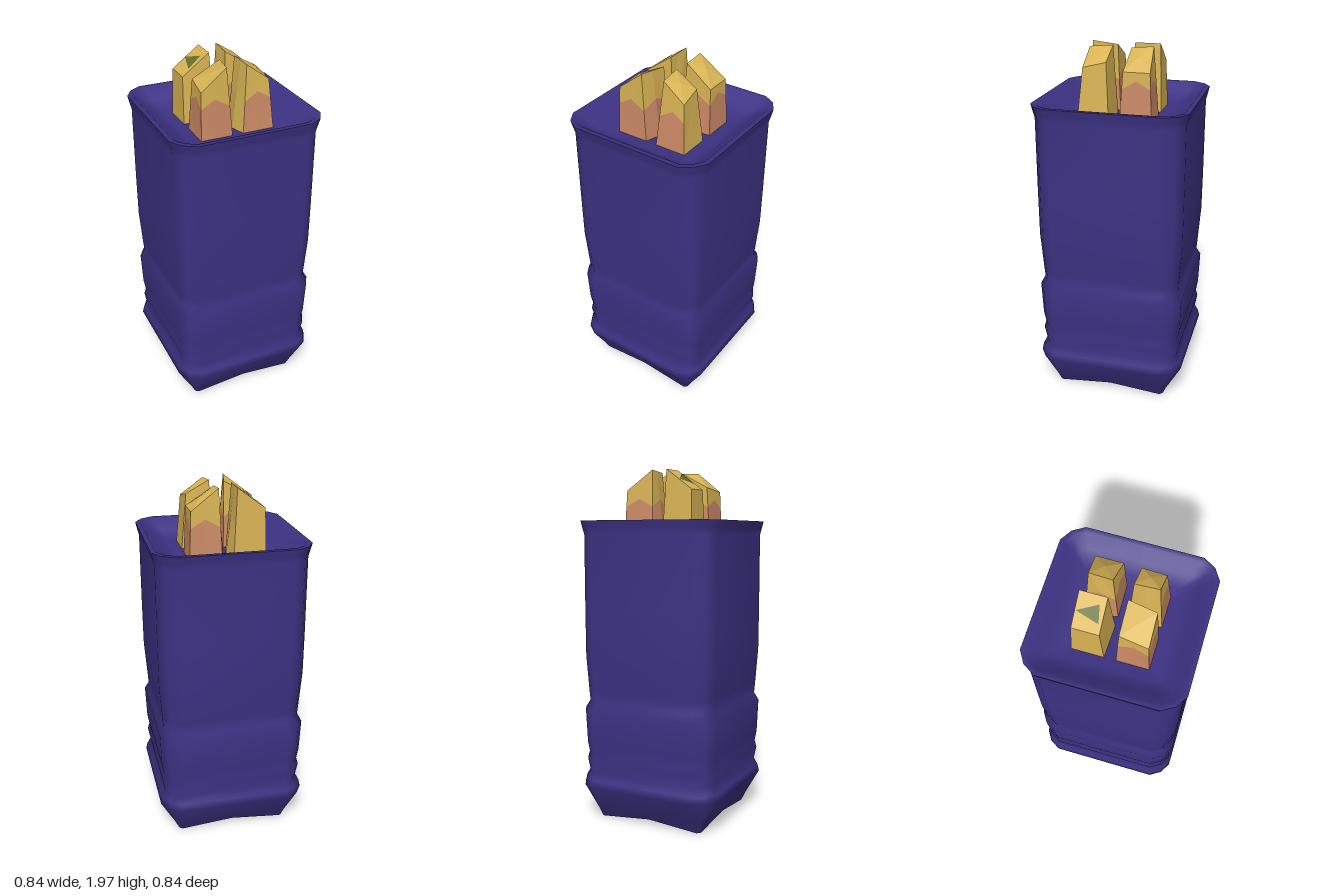
import * as THREE from 'three';

const mat = (name, color, side = THREE.FrontSide) => {
  const m = new THREE.MeshStandardMaterial({ color, side });
  m.name = name;
  return m;
};

// Geometry from a flat list of corner points, three per triangle
function triGeometry(points) {
  const g = new THREE.BufferGeometry();
  g.setAttribute('position', new THREE.Float32BufferAttribute(points.flat(), 3));
  g.computeVertexNormals();
  return g;
}

// Square ring with cut, softened corners; arch lifts the middle of each side
function squareRing(y, w, c, arch = 0) {
  const pts = [];
  const m = (w + c) / 2 + (w - c) * 0.12;
  for (let k = 0; k < 4; k++) {
    const a = (k * Math.PI) / 2, cs = Math.cos(a), sn = Math.sin(a);
    for (const [x, z] of [[w, -c], [w, 0], [w, c], [m, m]]) {
      pts.push([x * cs - z * sn, y + (z === 0 ? arch : 0), x * sn + z * cs]);
    }
  }
  return pts;
}

// Smooth skin through the rings
function loft(rings) {
  const n = rings[0].length, index = [];
  for (let j = 0; j < rings.length - 1; j++) {
    for (let i = 0; i < n; i++) {
      const a = j * n + i, b = j * n + ((i + 1) % n);
      index.push(a, a + n, b, b, a + n, b + n);
    }
  }
  const g = new THREE.BufferGeometry();
  g.setAttribute('position', new THREE.Float32BufferAttribute(rings.flat(2), 3));
  g.setIndex(index);
  g.computeVertexNormals();
  return g;
}

// Insert the midpoint after each of the four corners
const withMids = (corners) => corners.flatMap((p, i) => {
  const q = corners[(i + 1) % 4];
  return [p, p.map((v, k) => (v + q[k]) / 2)];
});

export function createModel() {
  const group = new THREE.Group();
  const blue = mat('blue', 0x3d3284);
  const dark = mat('dark underside', 0x2c2036);
  const yellow = mat('yellow', 0xd9b455);
  const pink = mat('pink', 0xcc8a66);
  const green = mat('green', 0x66702e, THREE.DoubleSide);
  const add = (name, geometry, material, parent = group) => {
    const mesh = new THREE.Mesh(geometry, material);
    mesh.name = name;
    parent.add(mesh);
  };

  // Creased block: height, half width, corner start, arch
  const profile = [
    [0.005, 0.315, 0.295, 0.027], [0.05, 0.335, 0.3, 0.01], [0.2, 0.418, 0.315], [0.24, 0.41, 0.31],
    [0.28, 0.39, 0.3], [0.35, 0.403, 0.305], [0.39, 0.393, 0.3], [0.45, 0.403, 0.305],
    [0.64, 0.41, 0.31], [0.685, 0.387, 0.295], [0.75, 0.391, 0.3], [0.95, 0.405, 0.305],
    [1.2, 0.406, 0.305], [1.62, 0.405, 0.305], [1.66, 0.415, 0.31], [1.695, 0.422, 0.315],
  ];
  add('body', loft(profile.map((p) => squareRing(...p))), blue);

  // Sunken top
  const dish = [[1.695, 0.422, 0.315], [1.695, 0.395, 0.305], [1.64, 0.33, 0.28], [1.605, 0.26, 0.23], [1.6, 0.001, 0.0009]];
  add('sunkenTop', loft(dish.map((p) => squareRing(...p))), blue);

  // Arched underside
  const foot = squareRing(...profile[0]);
  add('underside', triGeometry(foot.flatMap((p, i) => [[0, 0.035, 0], p, foot[(i + 1) % foot.length]])), dark);

  // Four chiselled prongs. Corners run inner-near, outer-near, outer-far, inner-far;
  // pinkSides: 0 near, 1 outer, 2 far, 3 inner. peak lifts the middle of the cap.
  const prongs = [
    { name: 'frontRightProng', sx: -1, sz: 1, pinkSides: [0, 1, 2, 3], peak: 0.01,
      top: [[0.03, 0.04, 1.96], [0.185, 0.04, 1.88], [0.2, 0.19, 1.86], [0.06, 0.19, 1.97]] },
    { name: 'frontLeftProng', sx: 1, sz: 1, pinkSides: [2], peak: 0.015,
      top: [[0.05, 0.045, 1.97], [0.175, 0.05, 1.9], [0.185, 0.175, 1.87], [0.06, 0.17, 1.96]] },
    { name: 'backLeftProng', sx: 1, sz: -1, pinkSides: [0, 1, 2, 3], peak: 0.015,
      top: [[0.045, 0.055, 1.96], [0.195, 0.045, 1.86], [0.195, 0.19, 1.86], [0.045, 0.175, 1.97]] },
    { name: 'backRightProng', sx: -1, sz: -1, pinkSides: [], peak: 0,
      top: [[0.05, 0.05, 1.97], [0.2, 0.05, 1.86], [0.2, 0.19, 1.86], [0.05, 0.19, 1.97]] },
  ];
  for (const { name, sx, sz, pinkSides, peak, top } of prongs) {
    const prong = new THREE.Group();
    prong.name = name;
    group.add(prong);
    const base = withMids([[0.025, 0.025, 1.59], [0.207, 0.03, 1.59], [0.207, 0.203, 1.59], [0.03, 0.203, 1.59]]);
    base[7][0] = 0.006; // inner side bulges towards its neighbour
    const cap = withMids(top);
    const split = base.map((b, i) => {
      const y = i % 2 ? 1.815 : 1.77, t = (y - b[2]) / (cap[i][2] - b[2]);
      return [b[0] + (cap[i][0] - b[0]) * t, b[1] + (cap[i][1] - b[1]) * t, y];
    });
    const place = ([u, v, y]) => [u * sx, y, v * sz];
    const pinkTris = [], yellowTris = [];
    const tri = (list, a, b, c) => list.push(...(sx * sz > 0 ? [a, b, c] : [a, c, b]).map(place));
    const centre = [0, 1, 2].map((k) => top.reduce((s, p) => s + p[k] / 4, 0));
    centre[2] += peak;
    for (let i = 0; i < 8; i++) {
      const j = (i + 1) % 8;
      const low = pinkSides.includes(i >> 1) ? pinkTris : yellowTris;
      for (const [list, r, s] of [[low, base, split], [yellowTris, split, cap]]) {
        tri(list, r[i], s[i], r[j]);
        tri(list, r[j], s[i], s[j]);
      }
      tri(yellowTris, cap[i], centre, cap[j]);
    }
    add('prongTip', triGeometry(yellowTris), yellow, prong);
    if (pinkTris.length) add('prongBase', triGeometry(pinkTris), pink, prong);
  }

  // Green chip on the sloping cap of one prong
  const capY = (x) => 1.974 - ((-x - 0.05) / 0.15) * 0.11;
  const chip = [[-0.13, -0.185], [-0.16, -0.065], [-0.085, -0.08]];
  add('greenChip', triGeometry(chip.map(([x, z]) => [x, capY(x), z])), green);

  return group;
}
